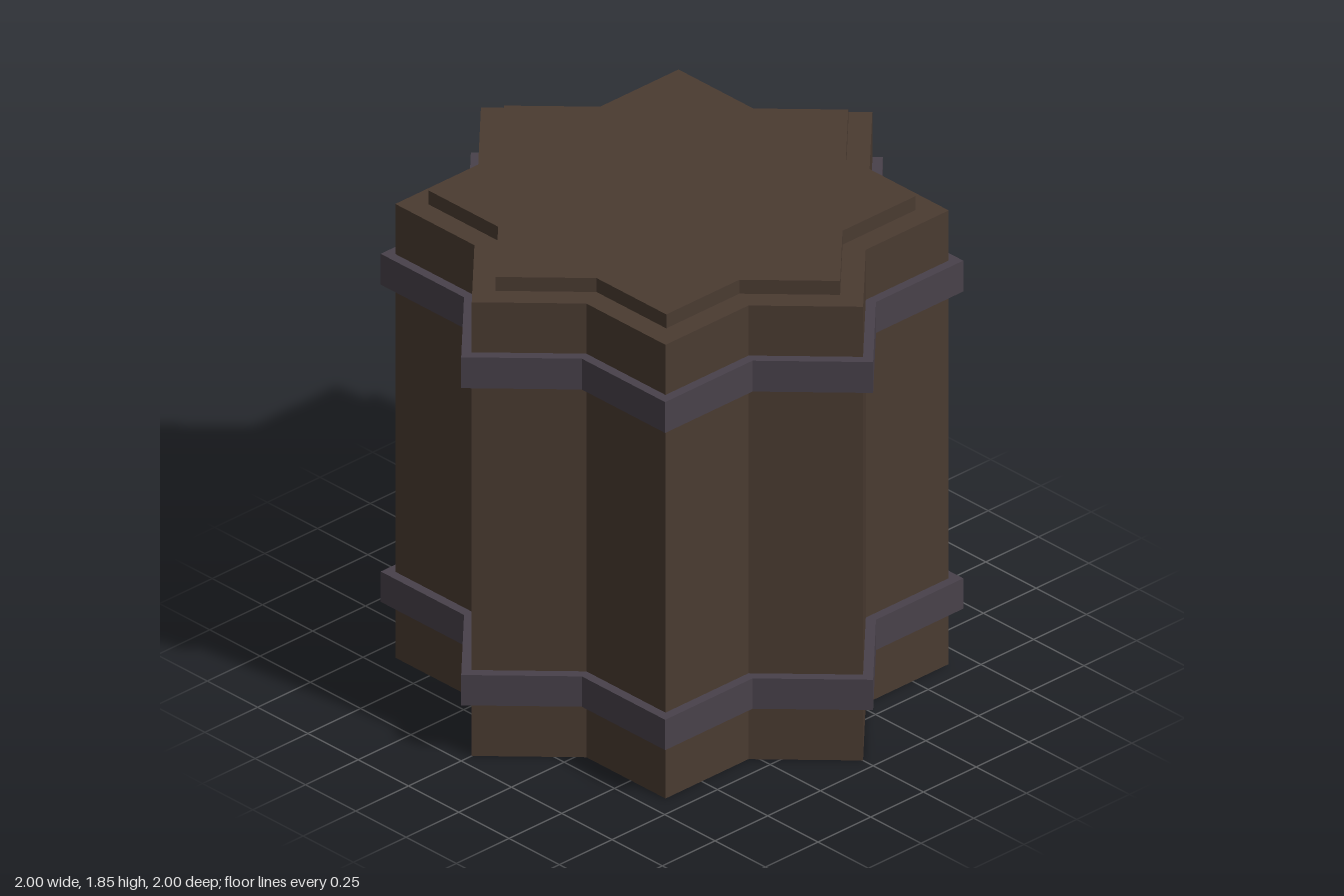
import * as THREE from 'three';

// Eight-pointed star: two equal squares, one turned by 45 degrees
function starShape(radius) {
  const inner = radius * Math.SQRT1_2 / Math.cos(Math.PI / 8);
  const points = [];
  for (let i = 0; i < 16; i++) {
    const r = i % 2 ? inner : radius;
    const a = i * Math.PI / 8;
    points.push(new THREE.Vector2(r * Math.cos(a), r * Math.sin(a)));
  }
  return new THREE.Shape(points);
}

// Upright star prism between two heights
function starPrism(name, radius, y0, y1, material, holeRadius) {
  const shape = starShape(radius);
  if (holeRadius) shape.holes.push(starShape(holeRadius));
  const geometry = new THREE.ExtrudeGeometry(shape, { depth: y1 - y0, bevelEnabled: false });
  geometry.rotateX(-Math.PI / 2);
  geometry.translate(0, y0, 0);
  const mesh = new THREE.Mesh(geometry, material);
  mesh.name = name;
  return mesh;
}

export function createModel() {
  const wood = new THREE.MeshStandardMaterial({ color: 0x4a3b31 });
  wood.name = 'dark wood';
  const iron = new THREE.MeshStandardMaterial({ color: 0x48414a });
  iron.name = 'dark iron';

  const barrel = new THREE.Group();
  barrel.name = 'barrel';

  // Wooden body and raised lid
  barrel.add(starPrism('body', 0.95, 0, 1.795, wood));
  barrel.add(starPrism('lid', 0.836, 1.795, 1.85, wood));

  // Iron hoops around the body
  barrel.add(starPrism('lowerHoop', 1, 0.22, 0.34, iron, 0.94));
  barrel.add(starPrism('upperHoop', 1, 1.475, 1.597, iron, 0.94));

  return barrel;
}
